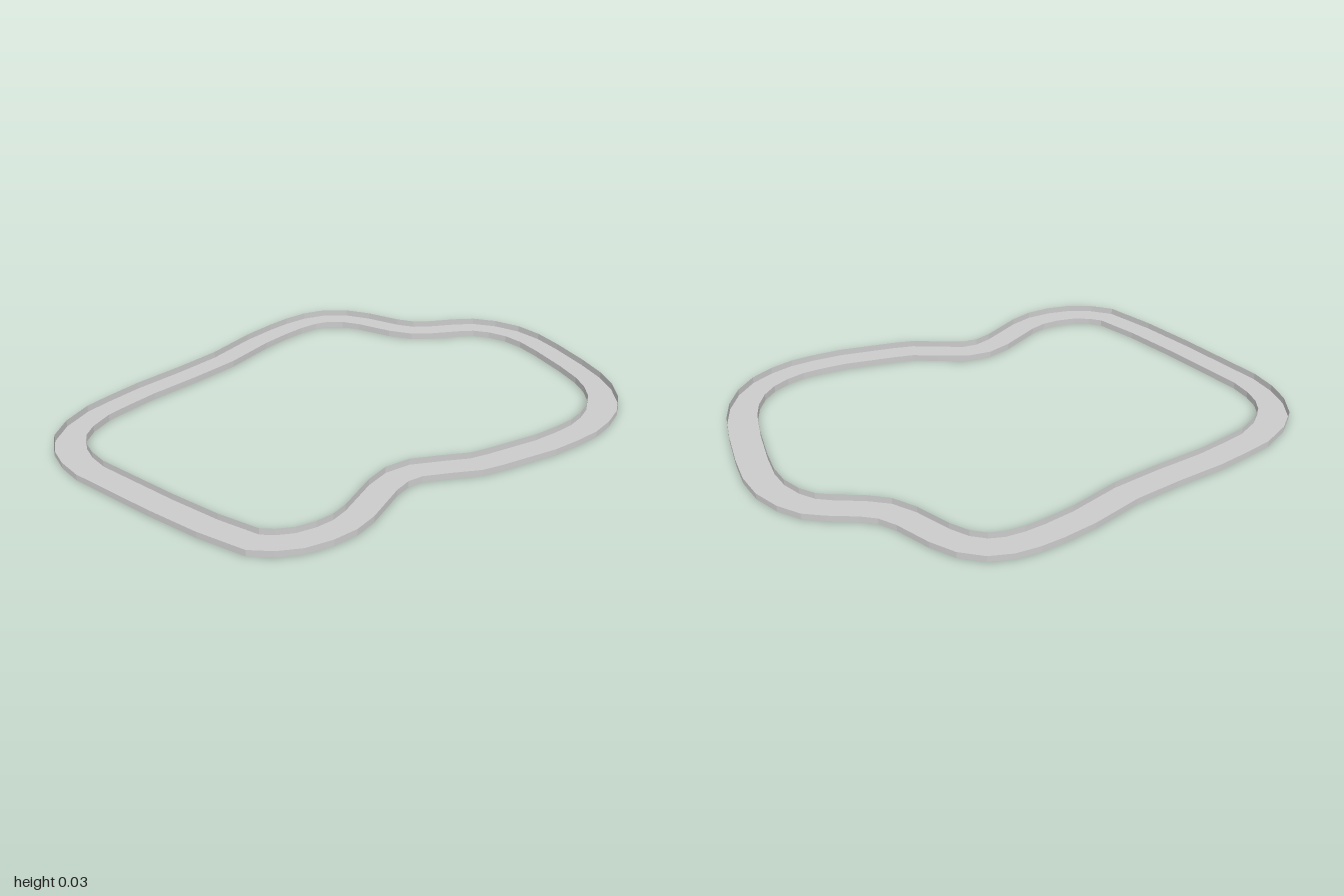
import * as THREE from 'three';

// Centre line of the closed circuit, as x, z pairs, clockwise seen from above
const PATH = [
  // back-left bend and back straight
  -0.93, -0.545, -0.91, -0.635, -0.875, -0.71, -0.82, -0.77, -0.74, -0.805, -0.63, -0.82,
  -0.53, -0.81, -0.39, -0.79, -0.19, -0.745, 0, -0.71, 0.21, -0.7, 0.34, -0.68,
  // back-right bend and kink
  0.425, -0.66, 0.505, -0.63, 0.57, -0.585, 0.62, -0.515, 0.65, -0.425, 0.675, -0.28,
  0.705, -0.195, 0.755, -0.13, 0.84, -0.045, 0.89, 0.015, 0.922, 0.095, 0.935, 0.19,
  // right side and front bend
  0.922, 0.285, 0.885, 0.39, 0.82, 0.54, 0.765, 0.645, 0.71, 0.715, 0.64, 0.77,
  0.56, 0.803, 0.475, 0.812, 0.39, 0.805, 0.305, 0.78, 0.2, 0.74, 0, 0.633,
  // front kink and left side
  -0.07, 0.59, -0.15, 0.51, -0.235, 0.43, -0.31, 0.397, -0.395, 0.393, -0.57, 0.415,
  -0.65, 0.411, -0.73, 0.385, -0.81, 0.34, -0.87, 0.28, -0.91, 0.215, -0.93, 0.03,
  -0.935, -0.185,
];
const HALF_WIDTH = 0.06;
const HEIGHT = 0.027;

// Sweeps a profile of [outward offset, y] points round the path with mitred corners
function sweep(profile) {
  const points = [];
  for (let i = 0; i < PATH.length; i += 2) points.push(new THREE.Vector2(PATH[i], PATH[i + 1]));
  const n = points.length;
  const rows = profile.length;
  const positions = [];
  const index = [];

  for (let i = 0; i < n; i++) {
    const before = points[i].clone().sub(points[(i + n - 1) % n]).normalize();
    const after = points[(i + 1) % n].clone().sub(points[i]).normalize();
    const tangent = before.clone().add(after).normalize();
    const mitre = 1 / tangent.dot(after);
    for (const [offset, y] of profile) {
      positions.push(points[i].x + tangent.y * offset * mitre, y, points[i].y - tangent.x * offset * mitre);
    }
    for (let j = 0; j < rows - 1; j++) {
      const a = i * rows + j;
      const b = ((i + 1) % n) * rows + j;
      index.push(a, a + 1, b + 1, a, b + 1, b);
    }
  }

  const geometry = new THREE.BufferGeometry();
  geometry.setAttribute('position', new THREE.Float32BufferAttribute(positions, 3));
  geometry.setIndex(index);
  const flat = geometry.toNonIndexed();
  flat.computeVertexNormals();
  return flat;
}

export function createModel() {
  const group = new THREE.Group();
  group.name = 'circuit';
  const material = new THREE.MeshStandardMaterial({
    color: 0xcccccc, flatShading: true, side: THREE.DoubleSide,
  });

  // Flat floor and the two thin upright walls of the open channel
  const parts = {
    trackFloor: [[HALF_WIDTH, 0], [-HALF_WIDTH, 0]],
    outerWall: [[HALF_WIDTH, HEIGHT], [HALF_WIDTH, 0]],
    innerWall: [[-HALF_WIDTH, 0], [-HALF_WIDTH, HEIGHT]],
  };
  for (const [name, profile] of Object.entries(parts)) {
    const mesh = new THREE.Mesh(sweep(profile), material);
    mesh.name = name;
    group.add(mesh);
  }
  return group;
}
